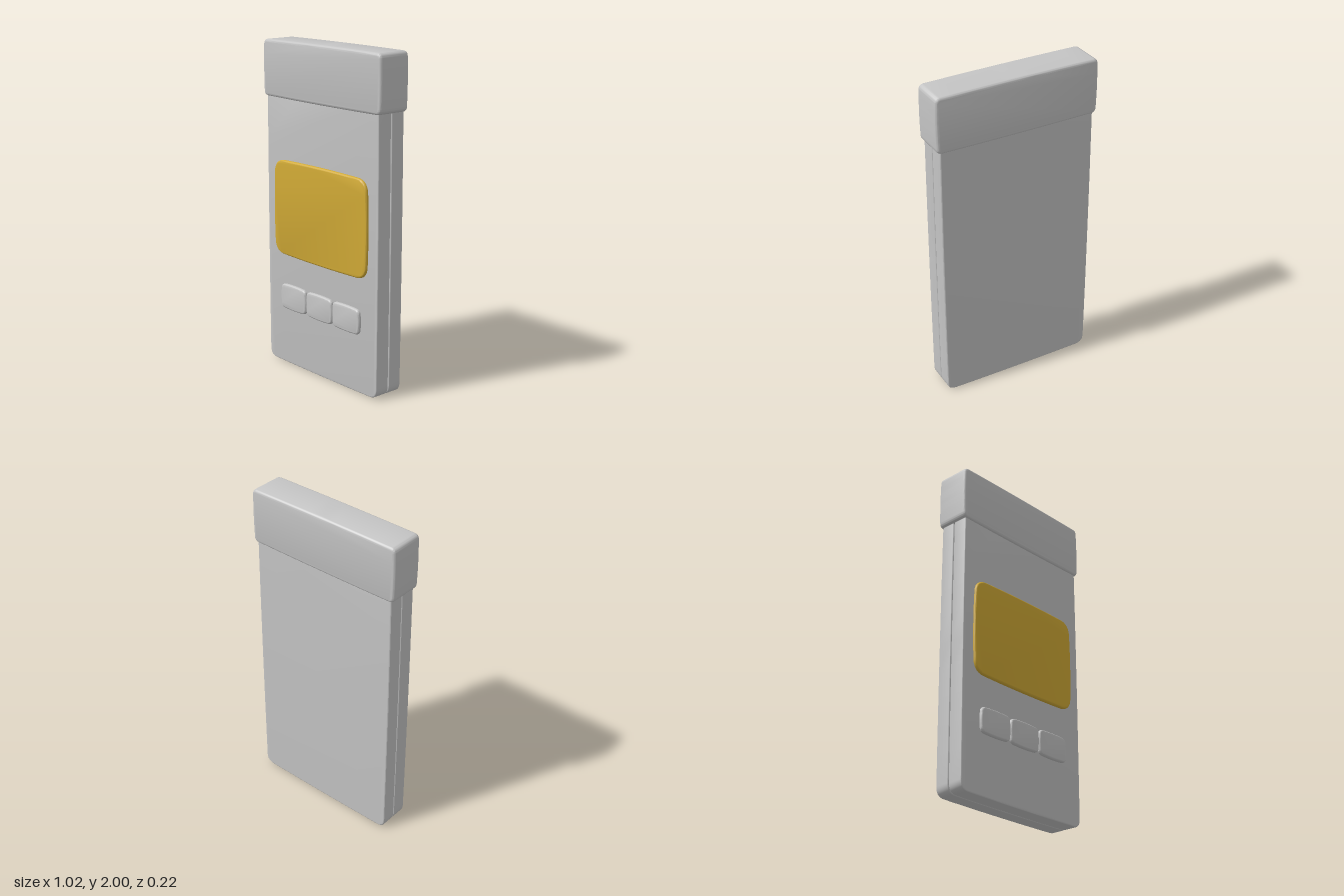
import * as THREE from 'three';
import { toCreasedNormals } from 'three/addons/utils/BufferGeometryUtils.js';

const silver = new THREE.MeshStandardMaterial({ color: 0xc5c5c5 });
silver.name = 'silver';
const gold = new THREE.MeshStandardMaterial({ color: 0xd2ab36 });
gold.name = 'gold';

// Rounded rectangle whose sides bow outward by "bow" at their middles
function outline(w, h, r, bow) {
  const x = w / 2, y = h / 2, a = x - bow, b = y - bow;
  const s = new THREE.Shape();
  s.moveTo(-a + r, -b);
  s.quadraticCurveTo(0, -y - bow, a - r, -b);
  s.quadraticCurveTo(a, -b, a, -b + r);
  s.quadraticCurveTo(x + bow, 0, a, b - r);
  s.quadraticCurveTo(a, b, a - r, b);
  s.quadraticCurveTo(0, y + bow, -a + r, b);
  s.quadraticCurveTo(-a, b, -a, b - r);
  s.quadraticCurveTo(-x - bow, 0, -a, -b + r);
  s.quadraticCurveTo(-a, -b, -a + r, -b);
  return s;
}

// Soft-edged slab given by its extents on each axis
function slab(name, material, [x0, x1], [y0, y1], [z0, z1], r, bevel, bow = 0.003) {
  const geometry = new THREE.ExtrudeGeometry(outline(x1 - x0, y1 - y0, r, bow), {
    depth: z1 - z0 - 2 * bevel,
    bevelThickness: bevel, bevelSize: bevel, bevelOffset: -bevel,
    bevelSegments: 5, curveSegments: 10,
  });
  geometry.translate((x0 + x1) / 2, (y0 + y1) / 2, z0 + bevel);
  const mesh = new THREE.Mesh(toCreasedNormals(geometry, 0.6), material);
  mesh.name = name;
  return mesh;
}

export function createModel() {
  const model = new THREE.Group();
  model.name = 'handheldDevice';

  // Two shell halves meeting at a shallow seam, with a core behind the seam
  model.add(
    slab('frontShell', silver, [-0.49, 0.49], [0, 1.8], [-0.004, 0.092], 0.06, 0.009),
    slab('backShell', silver, [-0.49, 0.49], [0, 1.8], [-0.1, -0.006], 0.06, 0.009),
    slab('seamCore', silver, [-0.482, 0.482], [0.008, 1.79], [-0.03, 0.02], 0.055, 0.004),
  );

  // Wider cap over the top
  model.add(slab('cap', silver, [-0.511, 0.511], [1.655, 2], [-0.112, 0.104], 0.035, 0.018));

  // Screen panel
  model.add(slab('screen', gold, [-0.413, 0.413], [0.698, 1.292], [0.08, 0.11], 0.09, 0.012, 0.005));

  // Row of three keys
  for (let i = -1; i <= 1; i++) {
    const x = i * 0.237;
    model.add(slab('key', silver, [x - 0.118, x + 0.118], [0.358, 0.518], [0.08, 0.112], 0.035, 0.013));
  }
  return model;
}
